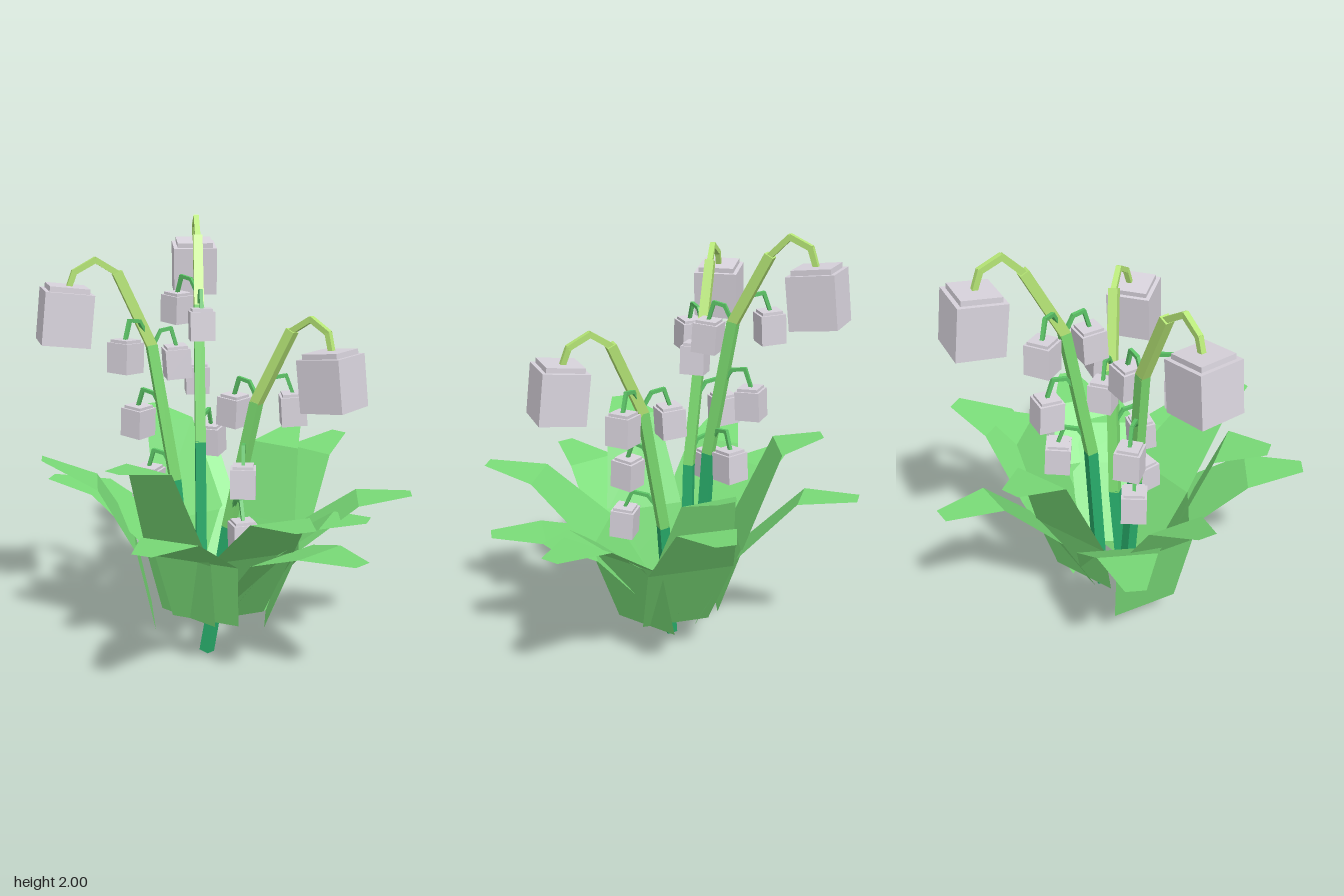
import * as THREE from 'three';

const mat = (name, color, opts = {}) =>
  Object.assign(new THREE.MeshStandardMaterial({ color, flatShading: true, ...opts }), { name });

export function createModel() {
  const root = new THREE.Group();
  root.name = 'bellFlowerPlant';

  const leafGreen = mat('leaf green', 0x7adc78, { side: THREE.DoubleSide });
  const deepGreen = mat('deep stem green', 0x28ac6a);
  const midGreen = mat('mid stem green', 0x7cdc70);
  const lime = mat('lime stem green', 0xb6e676);
  const stalkGreen = mat('stalk green', 0x5cc466);
  const petal = mat('pale petal', 0xd8d3dc);
  const V = (a) => new THREE.Vector3(...a);

  // Square bar between two points, with its sides squared to the bending plane
  function rod(parent, name, a, b, w0, w1, material, yaw) {
    const d = b.clone().sub(a);
    const geo = new THREE.CylinderGeometry(w1 * Math.SQRT1_2, w0 * Math.SQRT1_2, d.length() + 0.008, 4, 1, false, Math.PI / 4);
    const m = new THREE.Mesh(geo, material);
    const up = d.normalize();
    const side = new THREE.Vector3(Math.cos(yaw), 0, -Math.sin(yaw));
    side.addScaledVector(up, -side.dot(up)).normalize();
    m.quaternion.setFromRotationMatrix(new THREE.Matrix4().makeBasis(side, up, side.clone().cross(up)));
    m.position.copy(a).add(b).multiplyScalar(0.5);
    m.name = name;
    parent.add(m);
  }

  // Hanging box bell with a stepped cap, its mouth leaning outward
  function bell(parent, name, center, width, height, yaw, tilt) {
    const g = new THREE.Group();
    g.name = name;
    const body = new THREE.Mesh(new THREE.BoxGeometry(width, height, width), petal);
    body.name = 'bellBody';
    const cap = new THREE.Mesh(new THREE.BoxGeometry(width * 0.82, height * 0.1, width * 0.82), petal);
    cap.name = 'bellCap';
    cap.position.y = height * 0.55;
    g.add(body, cap);
    g.position.copy(center);
    g.rotation.set(-tilt, yaw, 0, 'YXZ');
    parent.add(g);
  }

  // Point on a stem path at a given height
  function atHeight(path, y) {
    for (let i = 0; i < path.length - 1; i++) {
      const a = path[i], b = path[i + 1];
      if (y >= a.y && y <= b.y) return a.clone().lerp(b, (y - a.y) / (b.y - a.y));
    }
    return path[0].clone();
  }

  const stems = [
    { name: 'backStem', big: [-0.135, 1.738, -0.632],
      path: [[-0.12, 0.2, -0.1], [-0.12, 0.98, -0.145], [-0.12, 1.6, -0.255], [-0.12, 1.9, -0.415],
        [-0.125, 1.985, -0.5], [-0.13, 1.945, -0.59], [-0.13, 1.86, -0.62]],
      bells: [[-0.11, 1.525, -0.14], [-0.22, 1.57, -0.385], [-0.13, 1.24, -0.345], [-0.065, 0.955, -0.28]] },
    { name: 'rightStem', big: [-0.70, 1.6, 0.085],
      path: [[-0.19, 0.23, 0], [-0.24, 0.85, 0.015], [-0.335, 1.46, 0], [-0.475, 1.78, 0.03],
        [-0.565, 1.84, 0.06], [-0.655, 1.79, 0.075], [-0.685, 1.71, 0.08]],
      bells: [[-0.225, 1.38, -0.02], [-0.445, 1.43, 0.12], [-0.405, 1.095, -0.085], [-0.36, 0.82, -0.04]] },
    { name: 'frontStem', big: [0.425, 1.346, 0.3],
      path: [[-0.1, 0.005, 0.04], [0.005, 0.62, 0.025], [0.125, 1.21, 0.06], [0.27, 1.54, 0.13],
        [0.345, 1.6, 0.185], [0.41, 1.55, 0.25], [0.425, 1.46, 0.28]],
      bells: [[0.287, 1.18, 0.068], [0.03, 1.155, -0.025], [0.06, 0.88, 0.18], [0.06, 0.63, 0.2]] },
  ];
  const widths = [0.05, 0.048, 0.045, 0.026, 0.025, 0.024];
  const colours = [deepGreen, midGreen, lime, lime, lime, lime];

  for (const s of stems) {
    const g = new THREE.Group();
    g.name = s.name;
    root.add(g);
    const path = s.path.map(V);
    const dir = path[5].clone().sub(path[3]);
    const stemYaw = Math.atan2(dir.x, dir.z);
    widths.forEach((w, i) => rod(g, 'stemSection', path[i], path[i + 1], w, w * 0.95, colours[i], stemYaw));

    // Large bell at the tip, facing the way the stem bends
    bell(g, 'largeBell', V(s.big), 0.207, 0.225, stemYaw, 0.12);

    // Small bells on arched stalks
    for (const p of s.bells) {
      const c = V(p), top = c.clone();
      top.y += 0.07;
      const start = atHeight(path, top.y);
      const yaw = Math.atan2(c.x - start.x, c.z - start.z);
      const arc = [[0, 0], [0.35, 0.075], [0.78, 0.085], [1, 0]].map(([t, h]) => {
        const q = start.clone().lerp(top, t);
        q.y += h;
        return q;
      });
      for (let i = 0; i < 3; i++) rod(g, 'bellStalk', arc[i], arc[i + 1], 0.016, 0.015, stalkGreen, yaw);
      bell(g, 'smallBell', c, 0.112, 0.13, yaw, 0.06);
    }
  }

  // Leaf: four cross-sections that rise from the base, then fold outward to a blunt tip
  function leaf([x, y, z], [baseR, baseY], kneeR, bend, wide = 1) {
    const reach = Math.hypot(x, z);
    const rows = [
      [baseR, baseY, 0.16 * wide],
      [kneeR, 0.57, 0.195 * wide],
      [reach * 0.71, 0.57 + (y - 0.57) * bend, 0.13 * wide],
      [reach, y, 0.043],
    ];
    const pos = [], index = [];
    for (const [r, h, w] of rows) pos.push(-w, h, r, w, h, r);
    for (let i = 0; i < 6; i += 2) index.push(i, i + 2, i + 1, i + 1, i + 2, i + 3);
    const geo = new THREE.BufferGeometry();
    geo.setAttribute('position', new THREE.Float32BufferAttribute(pos, 3));
    geo.setIndex(index);
    geo.computeVertexNormals();
    const m = new THREE.Mesh(geo, leafGreen);
    m.name = 'leaf';
    m.rotation.y = Math.atan2(x, z);
    root.add(m);
  }

  // Tip, base radius and height, knee radius, height share of the upper fold, width
  [
    [[-0.17, 0.87, -0.85], [0.16, 0.18], 0.36, 0.93, 0.75],
    [[-0.37, 1.06, -0.6], [0.22, 0.25], 0.32, 0.9],
    [[-0.83, 0.79, -0.24], [0.13, 0.25], 0.36, 0.85],
    [[-0.83, 0.97, 0.07], [0.35, 0.18], 0.43, 0.7],
    [[-0.49, 1.04, 0.54], [0.28, 0.25], 0.35, 0.93],
    [[-0.37, 0.79, 0.81], [0.27, 0.25], 0.37, 0.85],
    [[0.26, 0.88, 0.83], [0.06, 0.18], 0.32, 0.87],
    [[0.52, 0.66, 0.63], [0.08, 0.25], 0.36, 0.85],
    [[0.83, 0.79, 0.1], [0.18, 0.18], 0.33, 0.88],
    [[0.6, 0.91, -0.57], [0.13, 0.18], 0.37, 0.85],
    [[0.35, 0.97, -0.46], [0.15, 0.25], 0.28, 0.85],
    [[0.61, 0.72, 0.26], [0.07, 0.25], 0.3, 0.85],
  ].forEach((l) => leaf(...l));

  return root;
}
